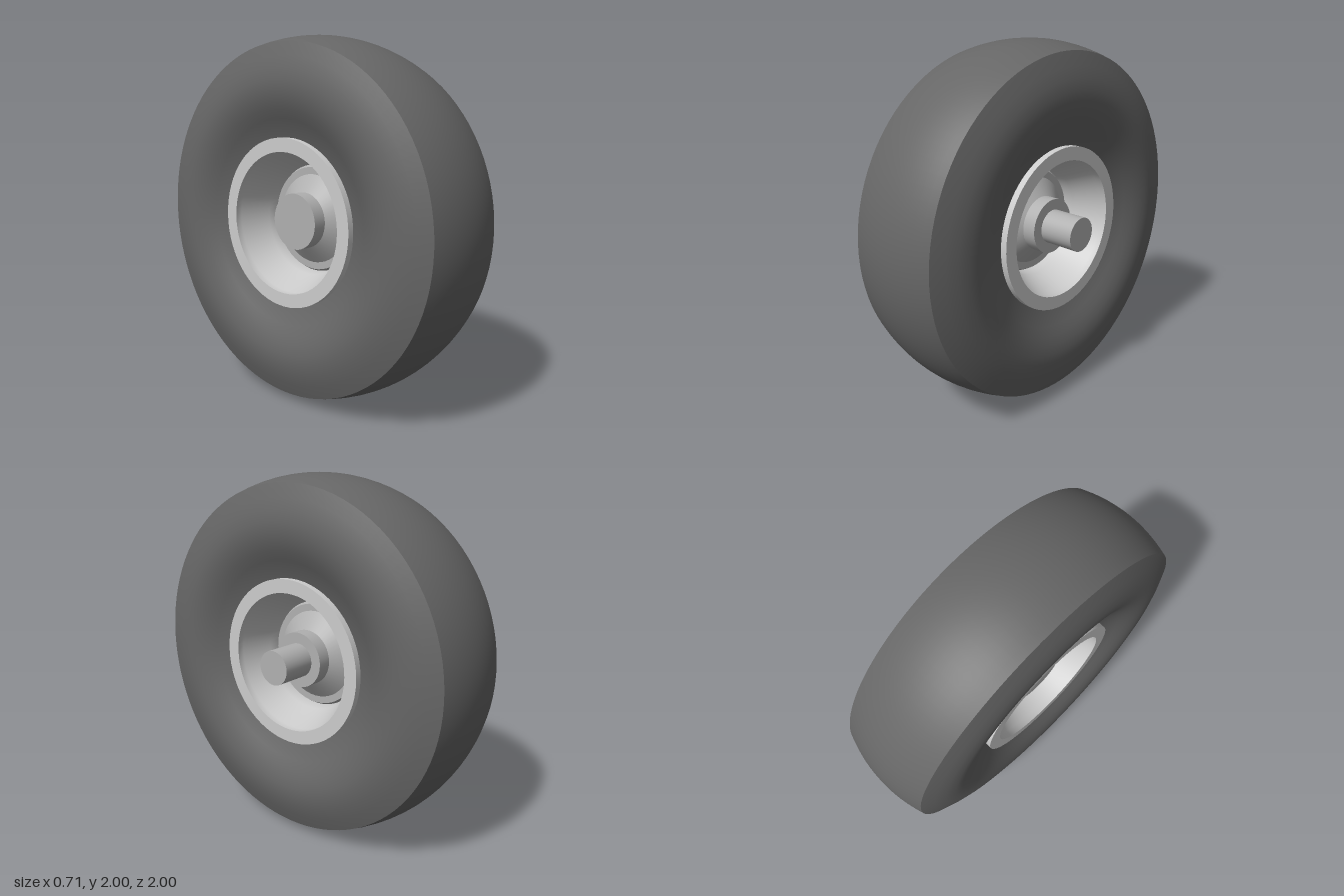
import * as THREE from 'three';
import { toCreasedNormals } from 'three/addons/utils/BufferGeometryUtils.js';

const material = (color) => new THREE.MeshStandardMaterial({ color });

// Revolve a [radius, x] profile around the x axis, with sharp creases kept
function turned(name, profile, segments, mat) {
  const points = profile.map(([r, x]) => new THREE.Vector2(r, x));
  const geometry = toCreasedNormals(new THREE.LatheGeometry(points, segments), 0.5);
  geometry.rotateZ(-Math.PI / 2);
  const mesh = new THREE.Mesh(geometry, mat);
  mesh.name = name;
  return mesh;
}

// Mirror a half profile (listed from the middle plane outwards) to both sides
const mirrored = (half) => [...half.map(([r, x]) => [r, -x]).reverse(), ...half];

export function createModel() {
  const wheel = new THREE.Group();
  wheel.name = 'wheel';
  const rubber = material(0x666666);
  const metal = material(0xcccccc);
  const hubMetal = material(0xb0b0b0);

  // Tyre: slightly crowned tread, sharp shoulder, sidewall dipping to the rim
  const tread = [];
  for (let i = 0; i <= 6; i++) {
    const t = i / 6;
    tread.push([1 - 0.045 * t * t, 0.27 * t]);
  }
  const sidewall = [
    [0.88, 0.298], [0.82, 0.315], [0.76, 0.325], [0.71, 0.324], [0.66, 0.315],
    [0.61, 0.298], [0.56, 0.275], [0.51, 0.25], [0.45, 0.23],
  ];
  wheel.add(turned('tyre', mirrored([...tread, ...sidewall]), 96, rubber));

  // Rim: flange, short lip and a conical dish on both sides
  const rimSide = [[0.46, 0.27], [0.385, 0.27], [0.385, 0.23], [0.31, 0.08], [0.3, 0]];
  const rimOther = rimSide.map(([r, x]) => [r, -x]).reverse();
  wheel.add(turned('rim', [...rimSide, ...rimOther, rimSide[0]], 64, metal));

  // Web: flat ring and raised cone joining the rim to the hub
  const web = [[0.31, 0], [0.29, 0.035], [0.25, 0.035], [0.15, 0.11]];
  wheel.add(turned('web', mirrored(web), 48, hubMetal));

  // Hub barrel, closed at both ends
  wheel.add(turned('hub', mirrored([[0.155, 0.185], [0, 0.185]]), 40, hubMetal));

  // Axle stub, protruding on one side only
  wheel.add(turned('axle', [[0.095, 0.1], [0.095, 0.385], [0, 0.385]], 32, hubMetal));

  wheel.position.set(-0.03, 1, 0);
  const model = new THREE.Group();
  model.name = 'wheelAssembly';
  model.add(wheel);
  return model;
}
